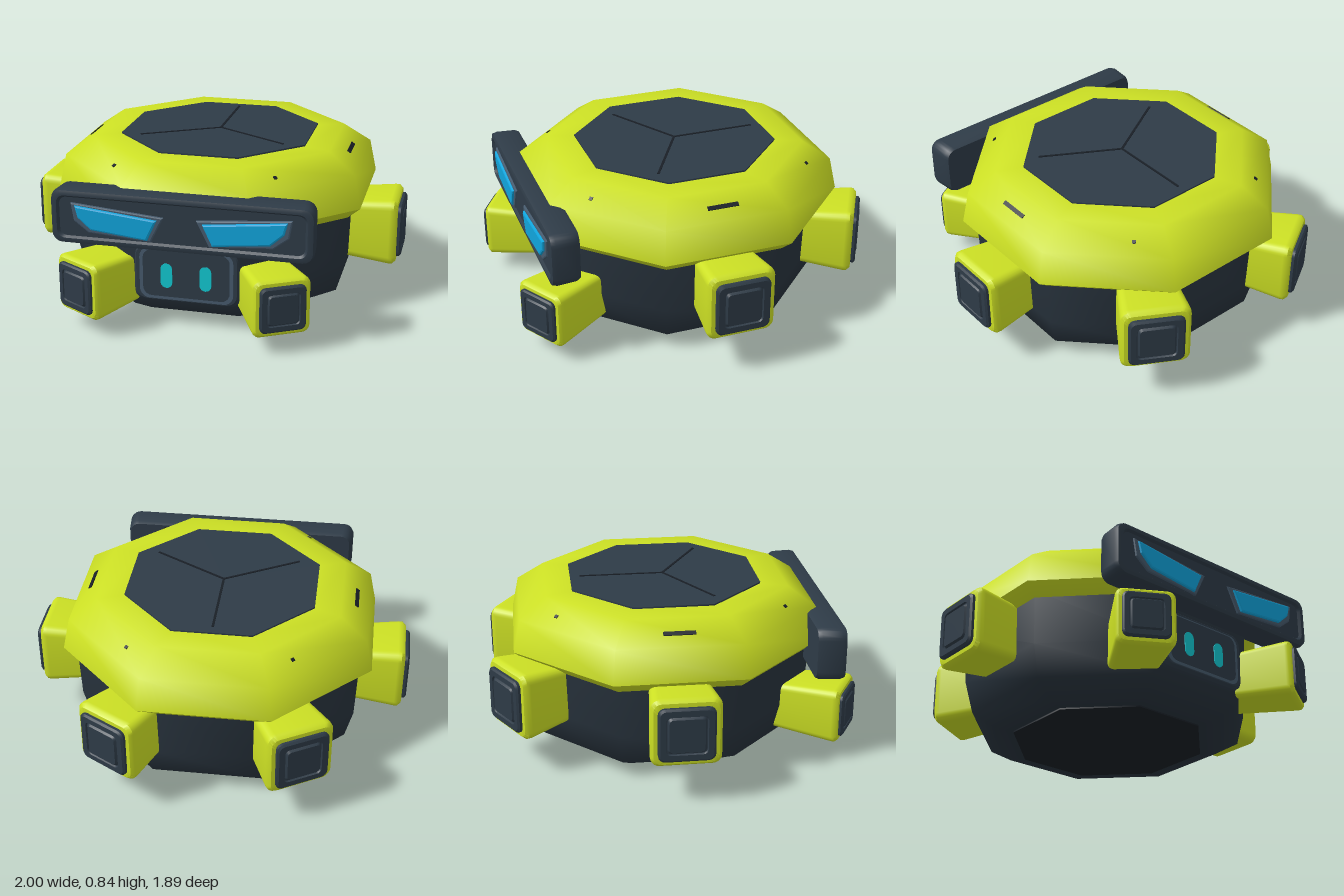
import * as THREE from 'three';
import { toCreasedNormals } from 'three/addons/utils/BufferGeometryUtils.js';

const paint = (name, color, side = THREE.FrontSide) => {
  const m = new THREE.MeshStandardMaterial({ color, side });
  m.name = name;
  return m;
};

const CZ = -0.025; // centre of the octagonal hull in z
const OCT = 1 / Math.cos(Math.PI / 8); // apothem to corner radius

// Loft of rounded rectangles [z, halfWidth, halfHeight, cornerRadius], closed at both ends
function loft(sections, steps = 5, crease = 0.6) {
  const pos = [], idx = [], n = 4 * (steps + 1);
  for (const [z, w, h, r] of sections) {
    for (let c = 0; c < 4; c++) {
      const sx = c === 0 || c === 3 ? 1 : -1, sy = c < 2 ? 1 : -1;
      for (let i = 0; i <= steps; i++) {
        const a = (c + i / steps) * Math.PI / 2;
        pos.push(sx * (w - r) + r * Math.cos(a), sy * (h - r) + r * Math.sin(a), z);
      }
    }
  }
  for (let s = 0; s < sections.length - 1; s++) {
    for (let i = 0; i < n; i++) {
      const a = s * n + i, b = s * n + (i + 1) % n;
      idx.push(a, b, b + n, a, b + n, a + n);
    }
  }
  const last = sections.length - 1, back = pos.length / 3;
  pos.push(0, 0, sections[0][0], 0, 0, sections[last][0]);
  for (let i = 0; i < n; i++) {
    const j = (i + 1) % n;
    idx.push(back, j, i, back + 1, last * n + i, last * n + j);
  }
  const g = new THREE.BufferGeometry();
  g.setAttribute('position', new THREE.Float32BufferAttribute(pos, 3));
  g.setIndex(idx);
  return toCreasedNormals(g, crease);
}

// Eight-sided smooth hull from an [apothem, y] profile running bottom to top
function octHull(profile) {
  const pts = profile.map(([a, y]) => new THREE.Vector2(a * OCT, y));
  return new THREE.LatheGeometry(pts, 8, Math.PI / 8);
}

const octPlate = (a, h) =>
  new THREE.CylinderGeometry(a * OCT, a * OCT, h, 8, 1, false, Math.PI / 8);

// Flat polygon with a small bevel; mirrored by side = -1
function polyPlate(points, side, depth, bevel) {
  const pts = points.map(([x, y]) => new THREE.Vector2(x * side, y));
  return new THREE.ExtrudeGeometry(new THREE.Shape(pts), {
    depth, bevelEnabled: bevel > 0, bevelSize: bevel, bevelOffset: -bevel,
    bevelThickness: bevel, bevelSegments: 2,
  });
}

export function createModel() {
  const model = new THREE.Group();
  model.name = 'hoverRobot';

  const lime = paint('lime', 0xcce024);
  const slate = paint('slate', 0x2e3b47);
  const hullDark = paint('hullDark', 0x28333d);
  const black = paint('black', 0x191f26);
  const steel = paint('steel', 0x465a6d);
  const blue = paint('blue', 0x10a4dc);
  const cyan = paint('cyan', 0x12c8d2);

  const add = (name, geometry, material, parent = model, x = 0, y = 0, z = 0) => {
    const m = new THREE.Mesh(geometry, material);
    m.name = name;
    m.position.set(x, y, z);
    parent.add(m);
    return m;
  };

  // Hull: dark lower body, lime skirt and shell, top and bottom plates
  add('lowerBody', octHull([[0, 0.008], [0.5, 0.008], [0.565, 0.012], [0.685, 0.085],
    [0.725, 0.25], [0.735, 0.54]]), hullDark, model, 0, 0, CZ);
  add('shellSkirt', octHull([[0.68, 0.5], [0.735, 0.5], [0.8, 0.56]]), lime, model, 0, 0, CZ);
  add('shell', octHull([[0.8, 0.56], [0.765, 0.73], [0.625, 0.83], [0.48, 0.83], [0, 0.83]]),
    lime, model, 0, 0, CZ);
  add('topPlate', octPlate(0.49, 0.01), slate, model, 0, 0.833, CZ);
  add('bottomPlate', octPlate(0.48, 0.012), black, model, 0, 0.006, CZ);

  // Three seams on the top plate
  for (let i = 0; i < 3; i++) {
    const arm = new THREE.Group();
    arm.name = 'topSeam' + i;
    arm.position.set(0, 0.838, CZ);
    arm.rotation.y = i * Math.PI * 2 / 3;
    add('seam', new THREE.BoxGeometry(0.012, 0.006, 0.44), black, arm, 0, 0, -0.22);
    model.add(arm);
  }

  // Slots and small studs on the sloping part of the shell
  const slopeMark = (name, angle, along, length, width) => {
    const g = new THREE.Group();
    g.name = name;
    g.position.z = CZ;
    g.rotation.y = angle;
    const m = add('mark', new THREE.BoxGeometry(width, 0.008, length), black, g, 0.7, 0.777, along);
    m.rotation.z = -Math.atan2(0.1, 0.14);
    model.add(g);
  };
  for (const side of [0, 1]) slopeMark('shellSlot', side * Math.PI, 0, 0.16, 0.022);
  for (let i = 0; i < 4; i++) {
    slopeMark('shellStud', Math.PI / 4 + i * Math.PI / 2, i % 2 ? 0.12 : -0.12, 0.018, 0.018);
  }

  // Thruster pods: flared rounded square housing with a dark stepped cap
  const pod = (name, angle, y, reach, size, root) => {
    const g = new THREE.Group();
    g.name = name;
    g.position.set(0, y, CZ);
    g.rotation.y = angle;
    const sq = (back, half, r) => [reach - back * size, half * size, half * size, r * size];
    add('housing', loft([[root, 0.142 * size, 0.142 * size, 0.035 * size], sq(0.065, 0.175, 0.045),
      sq(0.045, 0.174, 0.045), sq(0.028, 0.16, 0.04), sq(0.026, 0.14, 0.035)], 5, 0.7), lime, g);
    add('cap', loft([sq(0.05, 0.14, 0.035), sq(0.012, 0.14, 0.035), sq(0.003, 0.13, 0.03),
      sq(0.003, 0.102, 0.025), sq(0.012, 0.098, 0.022), sq(0.012, 0.094, 0.02),
      sq(0, 0.086, 0.018)], 4, 0.5), slate, g);
    model.add(g);
  };
  for (const s of [1, -1]) {
    const side = s > 0 ? 'left' : 'right';
    pod(side + 'SidePod', s * Math.PI / 2, 0.375, 1.0, 1, 0.6);
    pod(side + 'BackPod', s * Math.PI * 5 / 6, 0.375, 1.0, 1, 0.6);
    pod(side + 'FrontPod', s * Math.PI / 6, 0.235, 1.055, 0.83, 0.58);
  }

  // Visor bar with a raised rim and recessed face
  add('visor', loft([[0.68, 0.635, 0.132, 0.05], [0.70, 0.645, 0.14, 0.055], [0.80, 0.655, 0.14, 0.055],
    [0.823, 0.648, 0.134, 0.05], [0.828, 0.632, 0.12, 0.045], [0.828, 0.622, 0.11, 0.042],
    [0.815, 0.61, 0.1, 0.035]], 5, 0.6), slate, model, 0, 0.588, 0);
  const rim = [[0.55, 0.663], [0.08, 0.622], [0.145, 0.49], [0.46, 0.512], [0.535, 0.57]];
  const lens = [[0.528, 0.652], [0.112, 0.608], [0.162, 0.5], [0.445, 0.53], [0.512, 0.59]];
  for (const s of [1, -1]) {
    const side = s > 0 ? 'left' : 'right';
    add(side + 'EyeFrame', polyPlate(rim, s, 0.006, 0.008), steel, model, 0, 0, 0.812);
    add(side + 'Eye', polyPlate(lens, s, 0.008, 0.01), blue, model, 0, 0, 0.82);
  }

  // Recessed mouth panel with two lights
  add('mouthFrame', loft([[0.6, 0.275, 0.155, 0.06], [0.695, 0.275, 0.155, 0.06],
    [0.71, 0.258, 0.142, 0.055]]), slate, model, 0, 0.285, 0);
  add('mouthRim', loft([[0.7, 0.24, 0.134, 0.05], [0.713, 0.24, 0.134, 0.05]]), steel, model, 0, 0.282, 0);
  add('mouthPanel', loft([[0.7, 0.222, 0.123, 0.045], [0.715, 0.222, 0.123, 0.045]]),
    slate, model, 0, 0.286, 0);
  for (const s of [1, -1]) {
    add('mouthLight', loft([[0.71, 0.03, 0.065, 0.0299], [0.719, 0.03, 0.065, 0.0299]]),
      cyan, model, s * 0.1, 0.277, 0);
  }

  return model;
}
